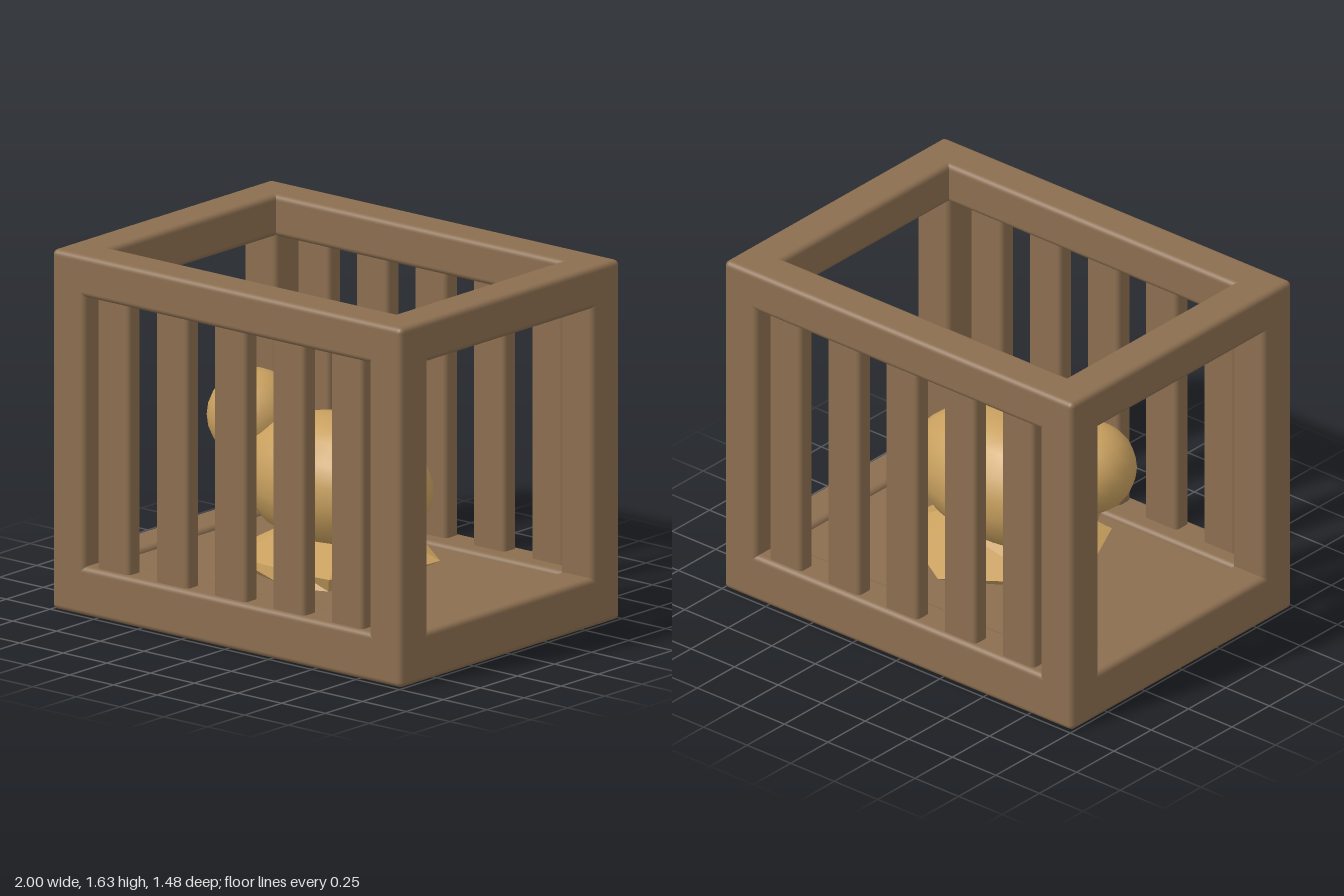
import * as THREE from 'three';
import { RoundedBoxGeometry } from 'three/addons/geometries/RoundedBoxGeometry.js';

export function createModel() {
  const group = new THREE.Group();
  const wood = new THREE.MeshStandardMaterial({ color: 0x8b6e50 });
  wood.name = 'brown wood';
  const tan = new THREE.MeshStandardMaterial({ color: 0xc8a05f });
  tan.name = 'tan';

  const add = (name, geometry, material, x, y, z) => {
    const mesh = new THREE.Mesh(geometry, material);
    mesh.name = name;
    mesh.position.set(x, y, z);
    group.add(mesh);
    return mesh;
  };
  // rounded timber given by its lower and upper corners
  const timber = (name, a, b, radius) => add(name,
    new RoundedBoxGeometry(b[0] - a[0], b[1] - a[1], b[2] - a[2], 3, radius), wood,
    (a[0] + b[0]) / 2, (a[1] + b[1]) / 2, (a[2] + b[2]) / 2);

  // frame: half width, height, half depth, timber thickness
  const W = 1, H = 1.63, D = 0.74, T = 0.188, R = 0.025;
  for (const [level, y0, y1] of [['bottom', 0, 0.222], ['top', H - T, H]]) {
    timber(level + 'FrontBeam', [-W, y0, D - T], [W, y1, D], R);
    timber(level + 'BackBeam', [-W, y0, -D], [W, y1, T - D], R);
    timber(level + 'LeftBeam', [W - T, y0, -D], [W, y1, D], R);
    timber(level + 'RightBeam', [-W, y0, -D], [T - W, y1, D], R);
  }
  for (const [side, x] of [['left', W - T / 2], ['right', T / 2 - W]]) {
    for (const [end, z] of [['Front', D - T / 2], ['Back', T / 2 - D]]) {
      timber(side + end + 'Post', [x - T / 2, 0.002, z - T / 2], [x + T / 2, H - 0.002, z + T / 2], R);
    }
  }

  // floor panel inside the bottom beams
  add('floor', new THREE.BoxGeometry(1.7, 0.07, 1.18), wood, 0, 0.165, 0);

  // bars along front and back
  for (let i = -2; i <= 2; i++) {
    for (const [name, s] of [['frontBar', 1], ['backBar', -1]]) {
      add(name, new RoundedBoxGeometry(0.186, 1.28, 0.085, 2, 0.02), wood, i * 0.334, 0.835, s * 0.675);
    }
  }

  // animal body and head
  const body = add('body', new THREE.SphereGeometry(1, 18, 12), tan, 0, 0.608, 0);
  body.rotation.z = Math.PI / 2;
  body.scale.set(0.302, 0.495, 0.302);
  add('head', new THREE.SphereGeometry(0.206, 18, 12), tan, -0.47, 0.82, 0);

  // irregular faceted bedding: bottom, rim and top rings
  const rim = [[0, -0.47], [0.25, -0.32], [0.46, -0.16], [0.45, 0.08], [0.29, 0.39], [0.14, 0.4],
    [0, 0.39], [-0.28, 0.37], [-0.39, 0.14], [-0.37, -0.2]];
  const base = [[0, -0.36], [0.2, -0.28], [0.34, -0.14], [0.36, 0.08], [0.27, 0.37], [0.14, 0.43],
    [0, 0.4], [-0.24, 0.33], [-0.33, 0.12], [-0.29, -0.17]];
  const rings = [
    base.map(([x, z]) => [x, 0.23, z]),
    rim.map(([x, z]) => [x, 0.29, z]),
    rim.map(([x, z]) => [x * 0.6, 0.385, z * 0.43 - 0.02]),
  ];
  const n = rim.length, pos = [];
  const tri = (a, b, c) => pos.push(...a, ...b, ...c);
  for (let i = 0; i < n; i++) {
    const j = (i + 1) % n;
    for (let k = 0; k < 2; k++) {
      const [lo, hi] = [rings[k], rings[k + 1]];
      tri(lo[i], hi[i], hi[j]);
      tri(lo[i], hi[j], lo[j]);
    }
    tri([0, 0.385, 0], rings[2][j], rings[2][i]);
    tri([0, 0.23, 0], rings[0][i], rings[0][j]);
  }
  const bedding = new THREE.BufferGeometry();
  bedding.setAttribute('position', new THREE.Float32BufferAttribute(pos, 3));
  bedding.computeVertexNormals();
  add('bedding', bedding, tan, 0, 0, 0);

  return group;
}
